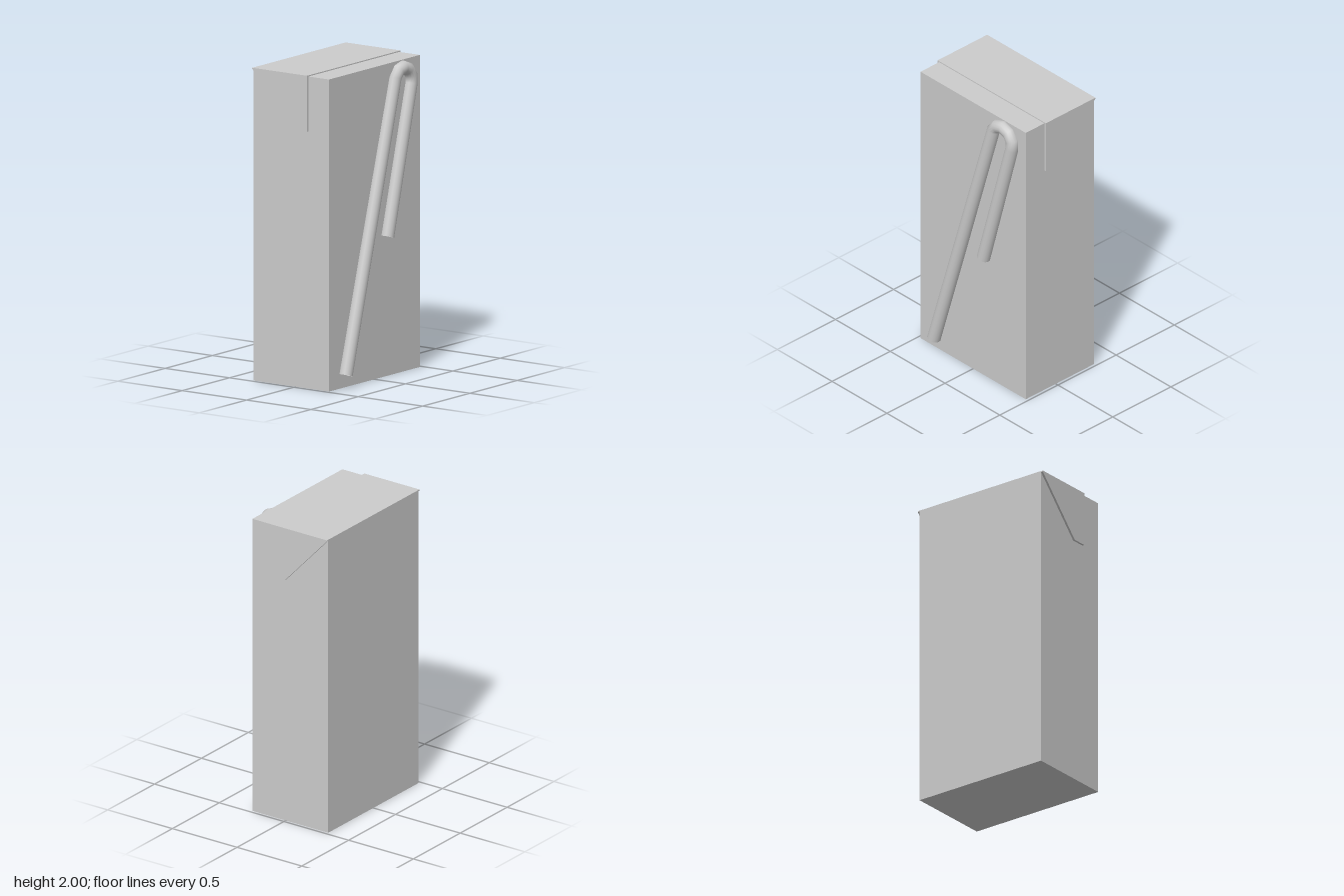
import * as THREE from 'three';

const BODY = { x0: -0.328, x1: 0.258, z: 0.48, top: 1.993 };
const FLAP = { x1: 0.098, bottom: 1.642, thick: 0.014 };
const grey = new THREE.MeshStandardMaterial({ color: 0xcccccc });
const greyOpen = new THREE.MeshStandardMaterial({ color: 0xcccccc, side: THREE.DoubleSide });

function add(group, name, geometry, material = grey) {
  const mesh = new THREE.Mesh(geometry, material);
  mesh.name = name;
  group.add(mesh);
  return mesh;
}

// Box given by its two opposite corners
function boxBetween(x0, y0, z0, x1, y1, z1) {
  return new THREE.BoxGeometry(x1 - x0, y1 - y0, z1 - z0)
    .translate((x0 + x1) / 2, (y0 + y1) / 2, (z0 + z1) / 2);
}

// Curve through exact stations, each with its own tangent
class StationCurve extends THREE.Curve {
  constructor(stations) {
    super();
    this.stations = stations;
  }
  at(u) {
    return this.stations[Math.round(u * (this.stations.length - 1))];
  }
  getPointAt(u) {
    return this.at(u).point.clone();
  }
  getTangentAt(u) {
    return this.at(u).tangent.clone();
  }
}

// Bent straw: long leg, coarse U-bend, short leg, leaning slightly in towards the top
function strawCurve() {
  const centre = { z: -0.283, y: 1.857 }, radius = 0.09, bendSteps = 5;
  const place = (z, y) => new THREE.Vector3(0.281 - 0.0068 * y, y, z);
  const bend = [];
  for (let i = 0; i <= bendSteps; i++) {
    const a = THREE.MathUtils.lerp(0.42, 3.41, i / bendSteps);
    bend.push({
      point: place(centre.z + radius * Math.cos(a), centre.y + radius * Math.sin(a)),
      tangent: new THREE.Vector3(0, Math.cos(a), -Math.sin(a)),
    });
  }
  const start = place(0.333, 0.083), end = place(-0.114, 0.895);
  const up = bend[0].point.clone().sub(start).normalize();
  const down = end.clone().sub(bend[bendSteps].point).normalize();
  bend[0].tangent = up.clone();
  bend[bendSteps].tangent = down.clone();
  return new StationCurve([{ point: start, tangent: up }, ...bend, { point: end, tangent: down }]);
}

export function createModel() {
  const model = new THREE.Group();
  model.name = 'drinkCarton';

  // Carton body
  add(model, 'cartonBody', boxBetween(BODY.x0, 0, -BODY.z, BODY.x1, BODY.top, BODY.z));

  // Folded top sheet
  const outer = BODY.z + FLAP.thick;
  add(model, 'topSheet', boxBetween(BODY.x0, BODY.top, -outer, FLAP.x1, 2, outer));

  // Folded-down corner flaps, front and back
  const shape = new THREE.Shape([
    new THREE.Vector2(BODY.x0, BODY.top),
    new THREE.Vector2(0, FLAP.bottom),
    new THREE.Vector2(FLAP.x1, FLAP.bottom),
    new THREE.Vector2(FLAP.x1, BODY.top),
  ]);
  for (const [name, z] of [['frontFlap', BODY.z], ['backFlap', -outer]]) {
    const flap = new THREE.ExtrudeGeometry(shape, { depth: FLAP.thick, bevelEnabled: false });
    add(model, name, flap.translate(0, 0, z));
  }

  // Straw, part sunk into the side
  const curve = strawCurve();
  add(model, 'straw', new THREE.TubeGeometry(curve, curve.stations.length - 1, 0.044, 16, false), greyOpen);

  return model;
}
